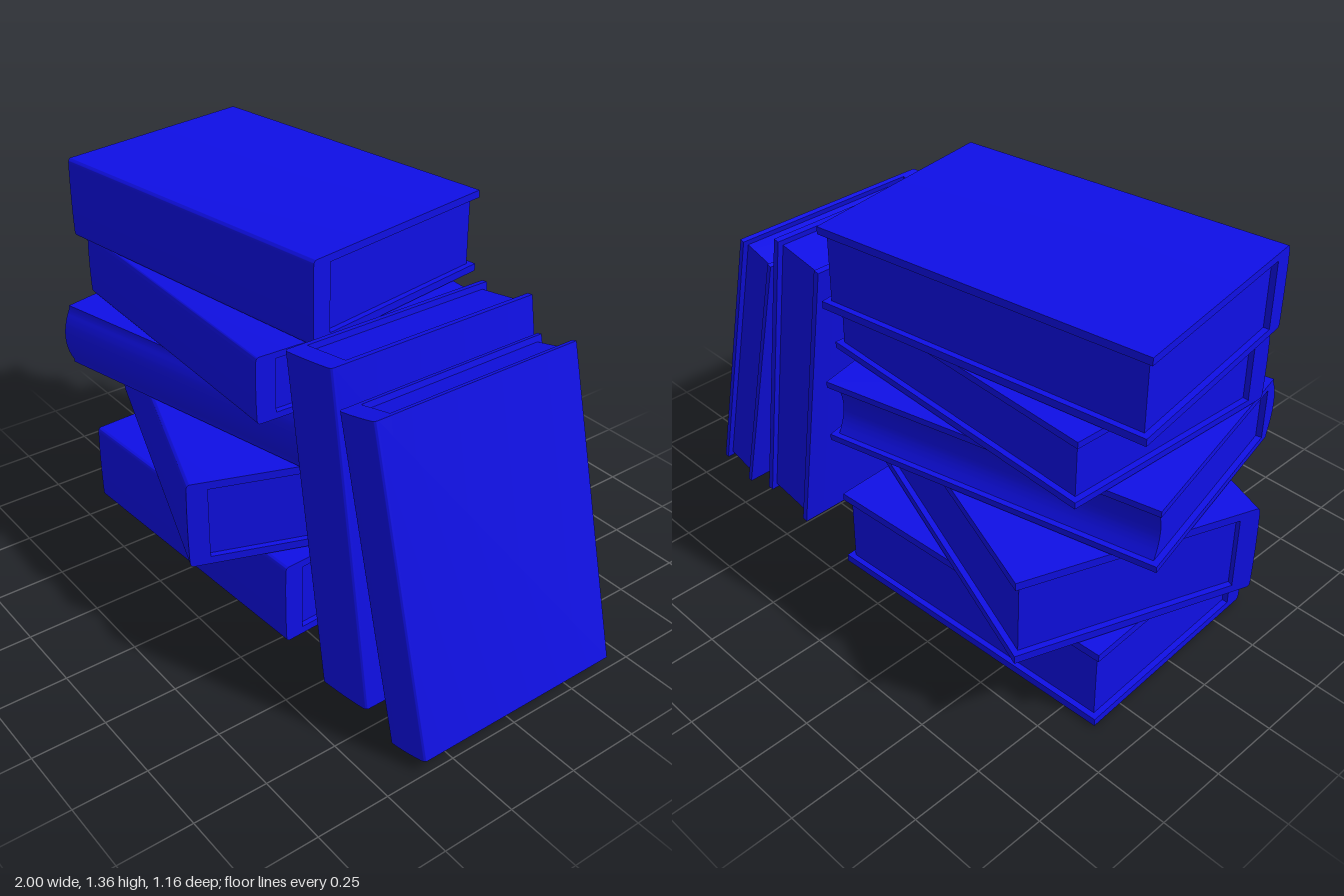
import * as THREE from 'three';
import { toCreasedNormals } from 'three/addons/utils/BufferGeometryUtils.js';

const blue = new THREE.MeshStandardMaterial({ color: 0x0f0fe6 });
const SPINE = 0.07; // depth of the solid spine strip
const INSET = 0.02; // how far the covers overhang the pages

// Extrude a (depth, thickness) profile along the book's length, centred on x.
function extrudeAlongX(shape, length, name) {
  const geo = new THREE.ExtrudeGeometry(shape, { depth: length, bevelEnabled: false, curveSegments: 10 });
  geo.translate(0, 0, -length / 2);
  geo.rotateY(-Math.PI / 2); // profile x becomes +z, extrusion becomes -x
  const mesh = new THREE.Mesh(toCreasedNormals(geo, 0.8), blue);
  mesh.name = name;
  return mesh;
}

// A book lying flat: length on x, thickness on y, spine towards +z.
function makeBook({ name, length, thick, depth, cover, round = 0 }) {
  const h = thick / 2, f = depth / 2, inner = h - cover, back = f - SPINE;

  // C-shaped case: two covers joined by the spine
  const c = new THREE.Shape();
  c.moveTo(-f, -h);
  if (round) {
    c.lineTo(f - round, -h);
    c.lineTo(f - round, -h + 0.01);
    c.quadraticCurveTo(f + round, 0, f - round, h - 0.01);
    c.lineTo(f - round, h);
  } else {
    c.lineTo(f - 0.015, -h);
    c.quadraticCurveTo(f - 0.002, -h, f - 0.002, -h + 0.02);
    c.quadraticCurveTo(f + 0.002, 0, f - 0.002, h - 0.02);
    c.quadraticCurveTo(f - 0.002, h, f - 0.015, h);
  }
  c.lineTo(-f, h);
  c.lineTo(-f, inner);
  c.lineTo(back, inner);
  c.lineTo(back, -inner);
  c.lineTo(-f, -inner);
  c.closePath();

  // Page block, hollowed at the fore edge when the spine is rounded
  const p = new THREE.Shape();
  const edge = -f + INSET;
  p.moveTo(edge, -inner);
  p.lineTo(back, -inner);
  p.lineTo(back, inner);
  p.lineTo(edge, inner);
  p.quadraticCurveTo(edge + round * 2, 0, edge, -inner);

  const book = new THREE.Group();
  book.name = name;
  book.add(extrudeAlongX(c, length, 'cover'));
  book.add(extrudeAlongX(p, length - 2 * INSET, 'pages'));
  return book;
}

export function createModel() {
  const model = new THREE.Group();
  model.name = 'bookPile';
  const rad = THREE.MathUtils.degToRad;

  // Stacked books, bottom to top: y range, centre and turn about the vertical
  const stack = [
    { y0: 0, y1: 0.3, x: -0.297, z: -0.019, turn: 3, length: 1.11, depth: 0.772, cover: 0.027 },
    { y0: 0.305, y1: 0.618, x: -0.315, z: 0, turn: -20, length: 1.166, depth: 0.81, cover: 0.028 },
    { y0: 0.623, y1: 0.845, x: -0.32, z: -0.012, turn: 13, length: 1.155, depth: 0.795, cover: 0.021, round: 0.03 },
    { y0: 0.848, y1: 1.075, x: -0.278, z: -0.011, turn: -2.5, length: 1.085, depth: 0.8, cover: 0.022 },
    { y0: 1.078, y1: 1.357, x: -0.32, z: -0.04, turn: 8.5, length: 1.148, depth: 0.745, cover: 0.025 },
  ];
  stack.forEach((s, i) => {
    const book = makeBook({ ...s, name: `stackedBook${i + 1}`, thick: s.y1 - s.y0 });
    book.position.set(s.x, (s.y0 + s.y1) / 2, s.z);
    book.rotation.y = rad(s.turn);
    model.add(book);
  });

  // Books leaning against the stack
  const leaning = [
    { x: 0.518, y: 0.578, lean: 9.5, length: 1.125, thick: 0.223, depth: 0.77, cover: 0.021 },
    { x: 0.782, y: 0.538, lean: 14.5, length: 1.067, thick: 0.163, depth: 0.77, cover: 0.017 },
  ];
  leaning.forEach((l, i) => {
    const book = makeBook({ ...l, name: `leaningBook${i + 1}` });
    book.position.set(l.x, l.y, -0.025);
    book.rotation.z = rad(l.lean - 90);
    model.add(book);
  });
  return model;
}
